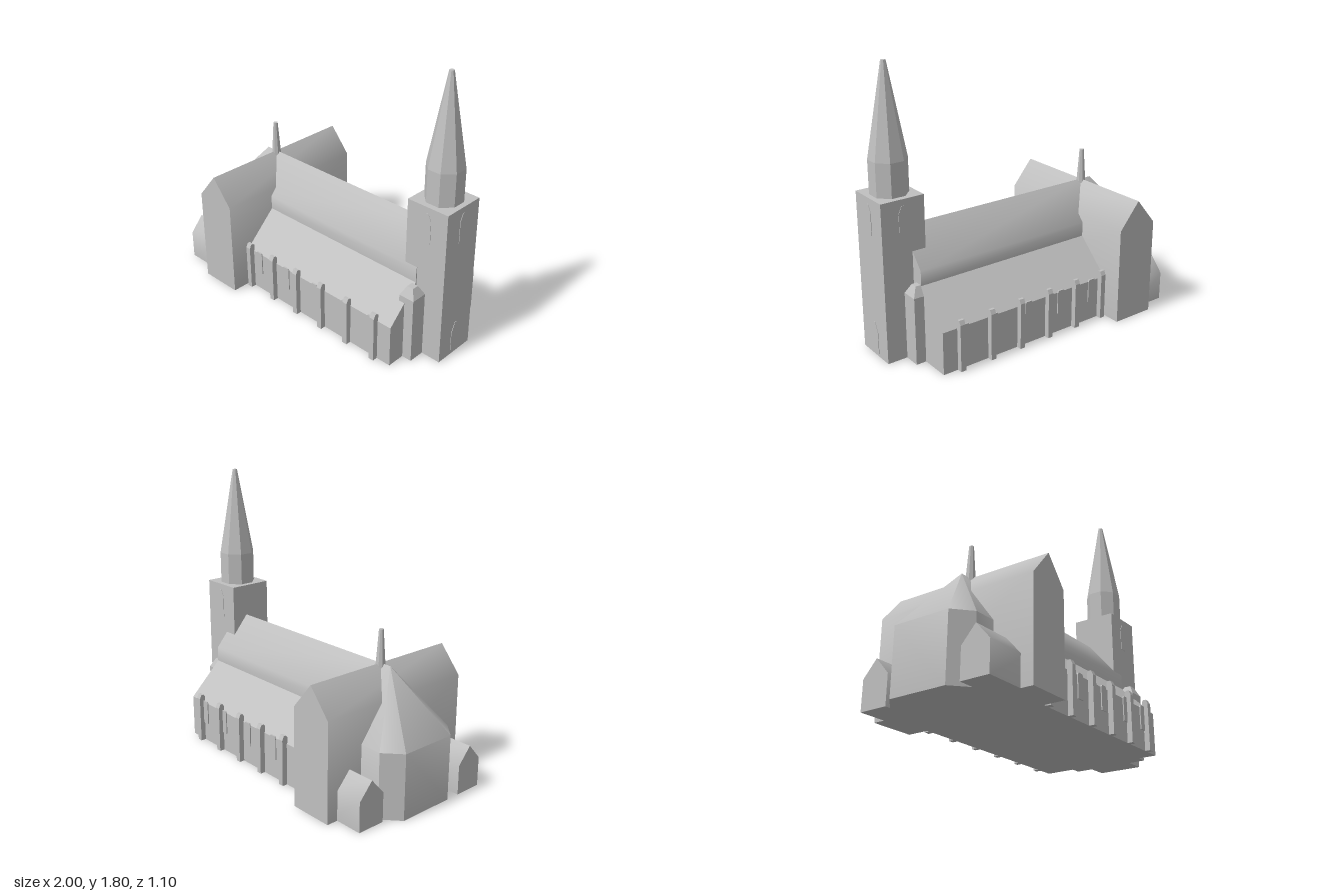
import * as THREE from 'three';
import { toCreasedNormals } from 'three/addons/utils/BufferGeometryUtils.js';
import { ConvexGeometry } from 'three/addons/geometries/ConvexGeometry.js';

const CREASE = THREE.MathUtils.degToRad(42);

export function createModel() {
  const church = new THREE.Group();
  church.name = 'church';
  const stone = new THREE.MeshStandardMaterial({ color: 0xc0c0c0 });
  stone.name = 'stone grey';

  const add = (name, geometry, x = 0, y = 0, z = 0, turn = 0) => {
    const mesh = new THREE.Mesh(geometry, stone);
    mesh.name = name;
    mesh.position.set(x, y, z);
    mesh.rotation.y = turn;
    church.add(mesh);
    return mesh;
  };
  const extrude = (points, depth) => new THREE.ExtrudeGeometry(
    new THREE.Shape(points.map(([a, b]) => new THREE.Vector2(a, b))),
    { depth, bevelEnabled: false });
  // Symmetric prism running along z (or along x), given the right half of its outline
  const prism = (half, from, to, alongX) => {
    const mirrored = half.filter(([a]) => a > 0).map(([a, b]) => [-a, b]).reverse();
    const g = extrude([...half, ...mirrored], to - from).translate(0, 0, from);
    if (alongX) g.rotateY(Math.PI / 2);
    return toCreasedNormals(g, CREASE);
  };
  const box = (x0, x1, y0, y1, z0, z1) => new THREE.BoxGeometry(x1 - x0, y1 - y0, z1 - z0)
    .translate((x0 + x1) / 2, (y0 + y1) / 2, (z0 + z1) / 2);
  // Cone frustum with flat sides facing the axes
  const frustum = (top, bottom, height, sides) => new THREE.CylinderGeometry(
    top / Math.cos(Math.PI / sides), bottom / Math.cos(Math.PI / sides), height, sides)
    .rotateY(Math.PI / sides).translate(0, height / 2, 0).toNonIndexed();
  const facet = (g) => { g.computeVertexNormals(); return g; };

  // Nave with lower side aisles
  add('nave', prism([[0.41, 0], [0.41, 0.275], [0.19, 0.49], [0.19, 0.585], [0, 0.81]], -0.6, 0.8, true));

  // Crossing transept
  add('transept', prism([[0.145, 0], [0.145, 0.637], [0, 0.81]], -0.55, 0.55, false), -0.6);

  // Many-sided apse with hipped roof
  const plan = [[-0.6, 0.29], [-0.89, 0.29], [-1, 0.19], [-1, -0.19], [-0.89, -0.29], [-0.6, -0.29]];
  const apsePoints = plan.flatMap(([x, z]) => [new THREE.Vector3(x, 0, z), new THREE.Vector3(x, 0.42, z)]);
  apsePoints.push(new THREE.Vector3(-0.68, 0.81, 0), new THREE.Vector3(-0.6, 0.81, 0));
  add('apse', toCreasedNormals(new ConvexGeometry(apsePoints), CREASE));

  // Small gabled chapels either side of the apse
  const chapel = [[0.093, 0], [0.093, 0.19], [0, 0.295]];
  add('frontChapel', prism(chapel, -1, -0.7, true), 0, 0, 0.377);
  add('backChapel', prism(chapel, -0.927, -0.7, true), 0, 0, -0.382);

  // Slender turret over the crossing
  add('crossingTurret', facet(frustum(0.014, 0.031, 0.25, 8)), -0.6, 0.77, 0);

  // Tower, belfry and spire
  const tx = 0.855, tz = 0.038;
  add('tower', box(0.71, 0.997, 0, 1.02, tz - 0.145, tz + 0.145));
  add('belfry', facet(frustum(0.108, 0.108, 0.21, 8)), tx, 1.02, tz);
  add('spire', facet(frustum(0.014, 0.108, 0.57, 8)), tx, 1.23, tz);

  // Pointed openings on the tower
  const opening = (w, h, shoulder) => extrude(
    [[-w, 0], [w, 0], [w, shoulder], [0.25 * w, h], [-0.25 * w, h], [-w, shoulder]], 0.006);
  const louvre = opening(0.028, 0.19, 0.145);
  add('towerWindow', louvre, tx, 0.79, tz + 0.142);
  add('towerWindow', louvre, tx, 0.79, tz - 0.142, Math.PI);
  add('towerWindow', louvre, 0.994, 0.79, tz, Math.PI / 2);
  add('door', opening(0.038, 0.205, 0.14), 0.994, 0.02, tz, Math.PI / 2);

  // Stair turrets beside the tower
  for (const z of [0.236, -0.162]) {
    add('stairTurret', box(0.76, 0.866, 0, 0.435, z - 0.054, z + 0.054));
    add('stairTurretRoof', facet(frustum(0.022, 0.0535, 0.06, 4)), 0.813, 0.435, z);
  }

  // Buttresses and aisle windows on both long sides
  const buttress = extrude([[-0.445, 0], [-0.405, 0], [-0.405, 0.32], [-0.415, 0.332],
    [-0.432, 0.332], [-0.445, 0.305]], 0.035).translate(0, 0, -0.0175).rotateY(Math.PI / 2);
  const pane = extrude([[-0.027, 0.13], [0.027, 0.13], [0.027, 0.275], [0.02, 0.288],
    [-0.02, 0.288], [-0.027, 0.275]], 0.009).translate(0, 0, 0.408);
  for (const turn of [0, Math.PI]) {
    for (let i = 0; i < 6; i++) add('buttress', buttress, -0.42 + i * 0.2205, 0, 0, turn);
    for (const x of [-0.345, -0.087, 0.172, 0.432, 0.645]) add('aisleWindow', pane, x, 0, 0, turn);
  }
  return church;
}
